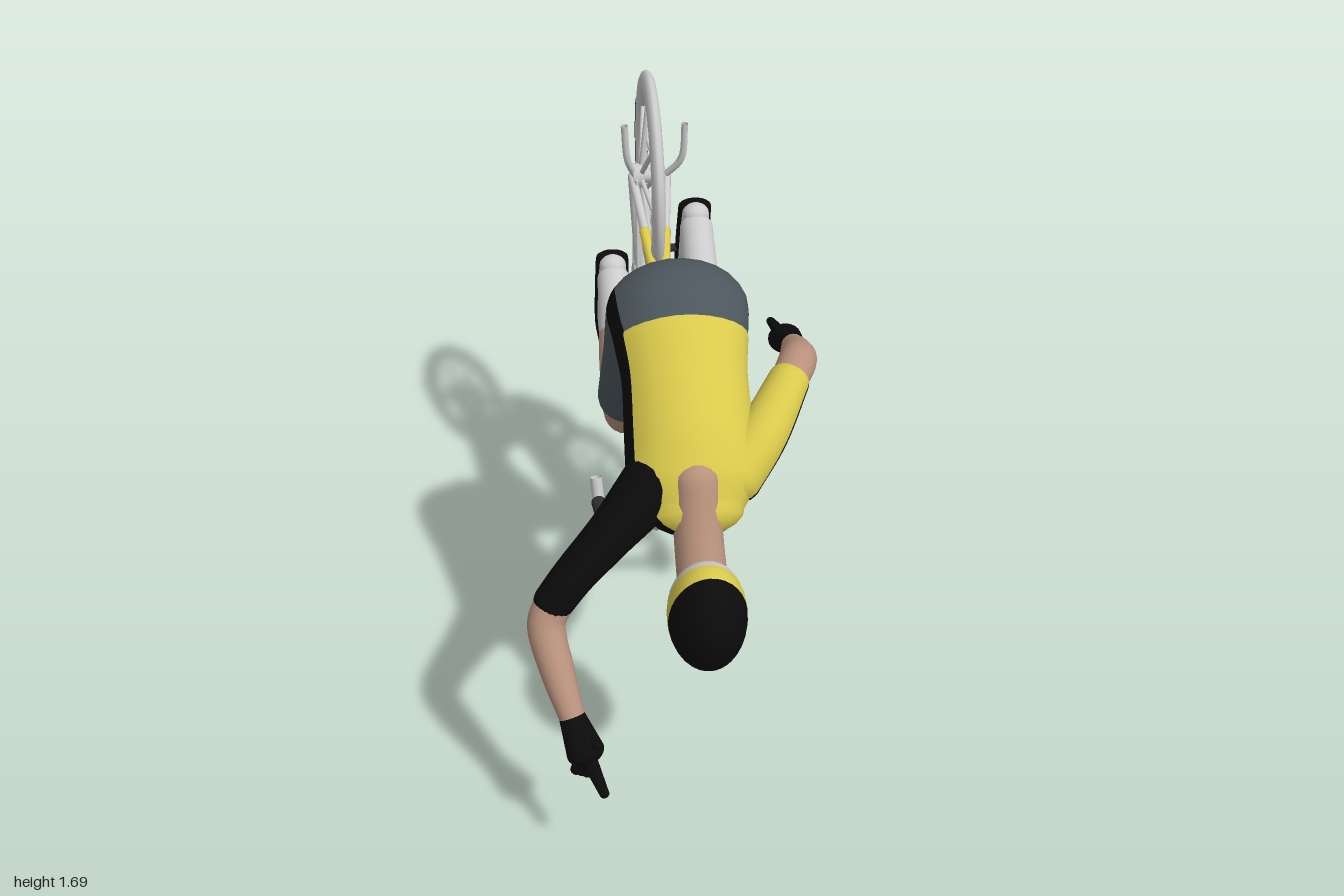
import * as THREE from 'three';

const V = (p) => new THREE.Vector3(p[0], p[1], p[2]);
const mat = (color) => new THREE.MeshStandardMaterial({ color, side: THREE.DoubleSide });
const grey = mat(0xcccccc), yellow = mat(0xd9c94c), black = mat(0x0b0b0b), skin = mat(0xb8917c),
  cloth = mat(0x4c565c), dark = mat(0x2b2d30);

function add(parent, name, geometry, material) {
  const m = new THREE.Mesh(geometry, material);
  m.name = name;
  parent.add(m);
  return m;
}

// Smooth round-ended body through stations [x, y, z, sideRadius, depthRadius];
// a0..a1 limits it to a strip, as a fraction of the full turn
function loft(stations, a0 = 0, a1 = 1, seg = 20, steps = 6) {
  const path = new THREE.CatmullRomCurve3(stations.map(V));
  const size = new THREE.CatmullRomCurve3(stations.map((s) => new THREE.Vector3(s[3], s[4] ?? s[3], 0)));
  const rings = [];
  const n = (stations.length - 1) * steps;
  for (let i = 0; i <= n; i++) {
    const c = path.getPoint(i / n), t = path.getTangent(i / n), r = size.getPoint(i / n);
    const ring = (k, shift) => rings.push({ c: c.clone().addScaledVector(t, shift), t, x: r.x * k, y: r.y * k });
    const cap = Math.min(r.x, r.y) * 0.8;
    if (i === 0) for (let k = 0; k < 5; k++) ring(Math.sin(k * Math.PI / 10) + 0.001, -cap * Math.cos(k * Math.PI / 10));
    ring(1, 0);
    if (i === n) for (let k = 4; k >= 0; k--) ring(Math.sin(k * Math.PI / 10) + 0.001, cap * Math.cos(k * Math.PI / 10));
  }
  const full = a1 - a0 >= 1, cols = full ? seg : seg + 1, pos = [], idx = [];
  rings.forEach(({ c, t, x, y }, i) => {
    const u = new THREE.Vector3(1, 0, 0).addScaledVector(t, -t.x).normalize();
    const v = t.clone().cross(u);
    for (let j = 0; j < cols; j++) {
      const a = (a0 + (a1 - a0) * j / seg) * Math.PI * 2;
      const p = c.clone().addScaledVector(u, x * Math.cos(a)).addScaledVector(v, y * Math.sin(a));
      pos.push(p.x, p.y, p.z);
    }
    if (i) for (let j = 0; j < seg; j++) {
      const a = (i - 1) * cols + j, b = (i - 1) * cols + (j + 1) % cols;
      idx.push(a, b, a + cols, b, b + cols, a + cols);
    }
  });
  const g = new THREE.BufferGeometry();
  g.setAttribute('position', new THREE.Float32BufferAttribute(pos, 3));
  g.setIndex(idx);
  g.computeVertexNormals();
  return g;
}

const rod = (a, b, r, r2 = r) => loft([[...a, r], [...b, r2]], 0, 1, 10, 1);
const tube = (pts, r) => new THREE.TubeGeometry(new THREE.CatmullRomCurve3(pts.map(V)), 30, r, 10);
const ball = (c, r) => new THREE.SphereGeometry(1, 24, 16).scale(...r).translate(...c);

function wheel(name, y) {
  const g = new THREE.Group();
  g.name = name;
  const hoop = (r, t, w, start, arc) => new THREE.TorusGeometry(r, t, 12, 56, arc).rotateZ(start).rotateY(Math.PI / 2).scale(w, 1, 1);
  add(g, 'tyreAndRim', hoop(0.292, 0.038, 0.55, 0, Math.PI * 2), grey);
  // after turning, angle zero points to -z
  add(g, 'tyrePatch', hoop(0.3, 0.033, 0.66, -0.5, 1), black);
  add(g, 'hub', new THREE.CylinderGeometry(0.024, 0.024, 0.1, 16).rotateZ(Math.PI / 2), grey);
  for (let i = 0; i < 14; i++) {
    const a = i / 14 * Math.PI * 2 + (i % 2 ? 0.06 : -0.06), s = i % 2 ? 0.03 : -0.03;
    add(g, 'spoke', rod([s, 0, 0], [0, 0.265 * Math.cos(a), 0.265 * Math.sin(a)], 0.008), grey);
  }
  g.position.set(0.02, y, -0.668);
  return g;
}

function bicycle() {
  const g = new THREE.Group(), x = 0.02;
  g.name = 'bicycle';
  g.add(wheel('frontWheel', 0.335), wheel('rearWheel', 1.36));
  // Frame
  add(g, 'topTube', rod([x, 1.14, -0.32], [x, 0.54, -0.26], 0.03), yellow);
  add(g, 'headTube', rod([x, 0.55, -0.18], [x, 0.48, -0.36], 0.034), yellow);
  add(g, 'downTube', rod([x, 0.5, -0.35], [x, 0.94, -0.69], 0.038), grey);
  add(g, 'seatTube', rod([x, 1.15, -0.31], [x, 0.94, -0.69], 0.03), grey);
  add(g, 'bottomBracket', rod([x - 0.05, 0.94, -0.69], [x + 0.05, 0.94, -0.69], 0.035), grey);
  add(g, 'seatLug', rod([x, 1.2, -0.29], [x, 1.1, -0.33], 0.03), yellow);
  for (const s of [-1, 1]) {
    add(g, 'forkBlade', rod([x + s * 0.02, 0.485, -0.35], [x + s * 0.04, 0.345, -0.665], 0.029, 0.02), yellow);
    // Seat stay: painted upper half, plain lower half
    const mid = [x + s * 0.033, 1.25, -0.49];
    add(g, 'seatStayUpper', rod([x + s * 0.012, 1.15, -0.33], mid, 0.017), yellow);
    add(g, 'seatStayLower', rod(mid, [x + s * 0.055, 1.36, -0.668], 0.014), grey);
    add(g, 'chainStay', rod([x + s * 0.03, 0.95, -0.69], [x + s * 0.055, 1.36, -0.668], 0.015), grey);
    add(g, 'axleLever', tube([[x + s * 0.045, 1.36, -0.66], [0.032 + s * 0.085, 1.43, -0.63], [0.032 + s * 0.095, 1.55, -0.62]], 0.011), grey);
    // Drop bar, hood and crank on each side
    add(g, 'dropBar', tube([[x, 0.385, -0.135], [x + s * 0.09, 0.375, -0.14], [x + s * 0.15, 0.36, -0.135],
      [x + s * 0.18, 0.345, -0.12], [x + s * 0.2, 0.345, -0.165], [x + s * 0.215, 0.4, -0.215], [x + s * 0.222, 0.485, -0.245]], 0.02), grey);
    add(g, 'brakeHood', loft([[x + s * 0.175, 0.36, -0.12, 0.028], [x + s * 0.2, 0.4, -0.115, 0.027], [x + s * 0.222, 0.465, -0.135, 0.023]]), s < 0 ? dark : grey);
    add(g, 'crank', rod([x + s * 0.055, 0.94, -0.69], [x + s * 0.06, 0.94 + s * 0.12, -0.74], 0.016), grey);
    add(g, 'pedal', rod([x + s * 0.06, 0.94 + s * 0.12, -0.74], [x + s * 0.15, 0.94 + s * 0.12, -0.745], 0.014), dark);
  }
  add(g, 'stem', rod([x, 0.55, -0.165], [x, 0.39, -0.13], 0.025), dark);
  add(g, 'chainring', new THREE.TorusGeometry(0.085, 0.009, 8, 36).rotateY(Math.PI / 2).translate(x - 0.045, 0.94, -0.69), grey);
  add(g, 'cassette', new THREE.CylinderGeometry(0.04, 0.04, 0.03, 24).rotateZ(Math.PI / 2).translate(x - 0.04, 1.36, -0.668), grey);
  for (const s of [-1, 1]) add(g, 'chainRun', rod([x - 0.045, 0.94, -0.69 + s * 0.085], [x - 0.045, 1.36, -0.668 + s * 0.04], 0.006), grey);
  // Saddle
  add(g, 'seatPost', rod([x, 1.15, -0.31], [x, 1.24, -0.05], 0.02), dark);
  add(g, 'saddle', loft([[x, 1.35, -0.03, 0.055, 0.018], [x, 1.27, -0.045, 0.045, 0.022], [x, 1.12, -0.05, 0.018, 0.016]]), black);
  return g;
}

function leg(name, s, hipX, x, kneeY, footDrop) {
  const g = new THREE.Group();
  g.name = name;
  const shift = (y) => y - footDrop;
  add(g, 'shortsLeg', loft([[hipX, 1.26, 0.06, 0.1, 0.115], [hipX + s * 0.01, 1.06, -0.015, 0.1, 0.11],
    [(hipX + x) / 2 + s * 0.02, kneeY + 0.13, -0.12, 0.085, 0.089]]), cloth);
  add(g, 'knee', loft([[(hipX + x) / 2 + s * 0.02, kneeY + 0.13, -0.12, 0.08], [x, kneeY + 0.03, -0.175, 0.068],
    [x, kneeY + 0.01, -0.22, 0.063]]), skin);
  const ankleY = shift(1.15);
  const along = (k, r, out = 0) => [x, THREE.MathUtils.lerp(kneeY + 0.01, ankleY, k) + out, THREE.MathUtils.lerp(-0.2, -0.64, k), r];
  add(g, 'calf', loft([along(0, 0.062), along(0.3, 0.07, 0.012), along(0.6, 0.062, 0.016)]), skin);
  add(g, 'sock', loft([along(0.52, 0.064, 0.014), along(0.8, 0.056, 0.026), along(1, 0.054, 0.03)]), grey);
  // Shoe, heel to toe
  add(g, 'shoe', loft([[x, shift(1.22), -0.665, 0.044, 0.045], [x, shift(1.12), -0.68, 0.05, 0.062],
    [x, shift(0.98), -0.715, 0.052, 0.042], [x, shift(0.87), -0.725, 0.042, 0.026]]), grey);
  add(g, 'sole', loft([[x, shift(1.235), -0.69, 0.054, 0.03], [x, shift(1.1), -0.73, 0.058, 0.026],
    [x, shift(0.97), -0.748, 0.06, 0.02], [x, shift(0.86), -0.742, 0.045, 0.016]]), black);
  return g;
}

// Glove with a pointing finger, three curled fingers and a thumb
function hand(name, wrist, palm, tip, curl) {
  const g = new THREE.Group();
  g.name = name;
  add(g, 'glove', loft([[...wrist, 0.036], [...palm, 0.052, 0.045]]), black);
  add(g, 'pointingFinger', rod(palm, tip, 0.024, 0.013), black);
  const w = V(wrist), p = V(palm), dir = p.clone().sub(w).normalize(), c = V(curl);
  for (let i = 0; i < 3; i++) {
    const a = p.clone().addScaledVector(dir, 0.025).addScaledVector(c, 0.022 * i + 0.005);
    const b = a.clone().addScaledVector(dir, 0.028 - 0.01 * i).addScaledVector(c, 0.02);
    add(g, 'curledFinger', rod(a.toArray(), b.toArray(), 0.019, 0.016), black);
  }
  const thumb = p.clone().addScaledVector(c, -0.06);
  add(g, 'thumb', rod(w.lerp(p, 0.5).toArray(), thumb.toArray(), 0.018, 0.014), black);
  return g;
}

function rider() {
  const g = new THREE.Group(), x = 0.025;
  g.name = 'rider';
  // Shorts and jersey, with a dark panel down the right side
  const hips = [[x, 1.25, 0.02, 0.165, 0.105], [x, 1.29, 0.1, 0.2, 0.147], [x, 1.255, 0.195, 0.187, 0.133]];
  add(g, 'shortsSeat', loft(hips, -0.34, 0.42), cloth);
  add(g, 'shortsSidePanel', loft(hips, 0.42, 0.66), black);
  const torso = [[x, 1.25, 0.2, 0.187, 0.135], [x, 1.18, 0.29, 0.174, 0.135], [x, 1.07, 0.41, 0.178, 0.145],
    [x, 0.99, 0.51, 0.178, 0.12], [x, 0.94, 0.57, 0.13, 0.085]];
  add(g, 'jersey', loft(torso, -0.34, 0.42), yellow);
  add(g, 'jerseySidePanel', loft(torso, 0.42, 0.66), black);
  g.add(leg('leftLeg', 1, 0.125, 0.17, 0.78, 0), leg('rightLeg', -1, -0.075, -0.105, 0.75, 0.175));

  // Left arm, bent back
  const sleeve = [[0.13, 1.0, 0.5, 0.085], [0.22, 1.08, 0.43, 0.072], [0.31, 1.17, 0.31, 0.058]];
  add(g, 'leftSleeve', loft(sleeve, 0.33, 0.95), yellow);
  add(g, 'leftSleevePanel', loft(sleeve, -0.05, 0.33), black);
  add(g, 'leftForearm', loft([[0.31, 1.17, 0.31, 0.052], [0.345, 1.185, 0.24, 0.054], [0.37, 1.135, 0.11, 0.048], [0.385, 1.085, -0.02, 0.035]]), skin);
  g.add(hand('leftHand', [0.385, 1.085, -0.02], [0.378, 1.055, -0.115], [0.35, 1.06, -0.215], [0.55, -0.75, 0]));

  // Right arm, reaching forward and down
  add(g, 'rightSleeve', loft([[-0.08, 1.0, 0.51, 0.09], [-0.2, 0.9, 0.585, 0.068], [-0.31, 0.8, 0.635, 0.058], [-0.37, 0.73, 0.66, 0.055]]), black);
  add(g, 'rightForearm', loft([[-0.36, 0.74, 0.655, 0.053], [-0.39, 0.68, 0.68, 0.052], [-0.37, 0.58, 0.75, 0.047], [-0.335, 0.47, 0.83, 0.035]]), skin);
  g.add(hand('rightHand', [-0.335, 0.47, 0.83], [-0.305, 0.395, 0.885], [-0.262, 0.335, 0.985], [-0.55, -0.6, -0.3]));

  // Head: crown towards +z, face towards -y
  const head = new THREE.Group();
  head.name = 'head';
  add(head, 'neck', loft([[x, 1.04, 0.56, 0.065], [x, 0.92, 0.61, 0.066], [0.03, 0.8, 0.67, 0.068]]), skin);
  add(head, 'face', ball([0.033, 0.72, 0.7], [0.078, 0.11, 0.11]), skin);
  add(head, 'jaw', ball([0.033, 0.69, 0.635], [0.055, 0.06, 0.06]), skin);
  add(head, 'nose', loft([[0.033, 0.62, 0.72, 0.012], [0.033, 0.605, 0.685, 0.018]]), skin);
  for (const s of [-1, 1]) add(head, 'ear', ball([0.033 + s * 0.078, 0.75, 0.69], [0.014, 0.025, 0.032]), skin);
  const shell = (from, to) => new THREE.SphereGeometry(1, 32, 16, 0, Math.PI * 2, from * Math.PI, (to - from) * Math.PI)
    .rotateX(Math.PI / 2).scale(0.107, 0.158, 0.14).rotateX(0.12).translate(0.035, 0.73, 0.75);
  add(head, 'helmetShell', shell(0, 0.46), black);
  add(head, 'helmetBand', shell(0.46, 0.58), yellow);
  add(head, 'helmetRim', shell(0.58, 0.64), grey);
  add(head, 'glasses', tube([[-0.048, 0.73, 0.705], [-0.03, 0.65, 0.71], [0.033, 0.608, 0.715], [0.096, 0.65, 0.71], [0.114, 0.73, 0.705]], 0.018), dark);
  g.add(head);
  return g;
}

export function createModel() {
  const model = new THREE.Group();
  model.name = 'cyclistOnBicycle';
  model.add(bicycle(), rider());
  return model;
}
